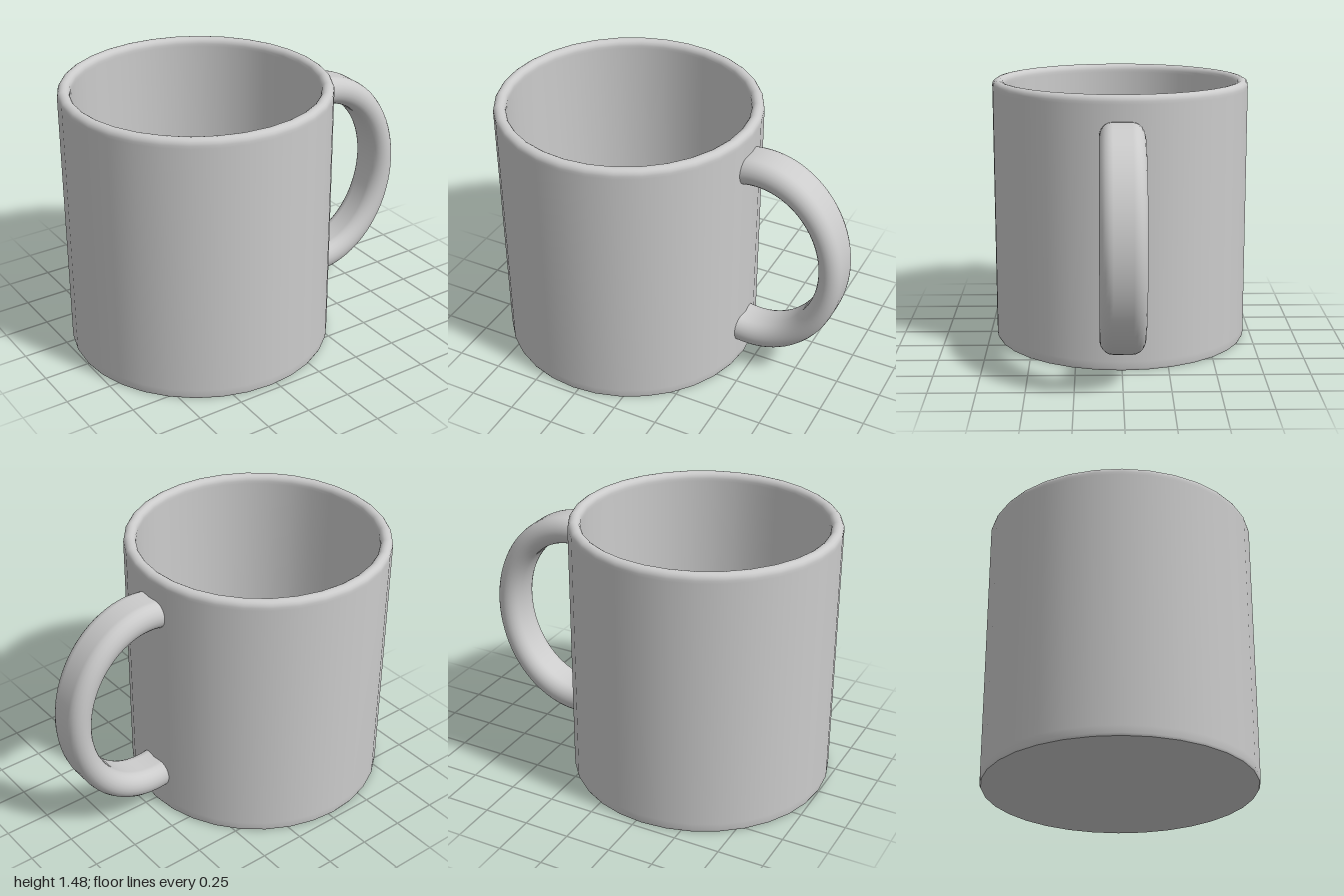
import * as THREE from 'three';
import { ParametricGeometry } from 'three/addons/geometries/ParametricGeometry.js';

const SIDES = 32;
const CUP_X = -0.284;
const material = new THREE.MeshStandardMaterial({ color: 0xcccccc });

function lathe(name, points) {
  const geometry = new THREE.LatheGeometry(points.map(([r, y]) => new THREE.Vector2(r, y)), SIDES);
  const mesh = new THREE.Mesh(geometry, material);
  mesh.name = name;
  mesh.position.x = CUP_X;
  return mesh;
}

// Elliptical loop with a rounded, flattened cross-section
function createHandle() {
  const section = new THREE.Shape();
  section.absarc(0.05, 0, 0.07, -Math.PI / 2, Math.PI / 2);
  section.absarc(-0.05, 0, 0.07, Math.PI / 2, Math.PI * 1.5);
  section.closePath();

  const reach = Math.PI / 2 + 0.2; // the ends sink into the cup wall
  const geometry = new ParametricGeometry((u, v, target) => {
    const angle = reach * (1 - 2 * u);
    const p = section.getPoint(v);
    const across = p.y / 0.07;
    target.set(
      0.49 + (0.442 + 0.066 * across) * Math.cos(angle),
      0.74 + (0.5275 + 0.0775 * across) * Math.sin(angle),
      p.x
    );
  }, 48, 32);
  const mesh = new THREE.Mesh(geometry, material);
  mesh.name = 'handle';
  return mesh;
}

export function createModel() {
  const group = new THREE.Group();
  group.name = 'mug';

  // Outer wall, rounded rim and inner wall in one profile
  const profile = [[0.71, 0], [0.716, 0.012], [0.717, 0.05], [0.717, 1.43]];
  for (let i = 0; i <= 8; i++) {
    const a = (i / 8) * Math.PI;
    profile.push([0.684 + 0.033 * Math.cos(a), 1.445 + 0.033 * Math.sin(a)]);
  }
  profile.push([0.651, 1.43], [0.65, 0.1], [0.645, 0.08], [0.63, 0.07]);
  group.add(lathe('cupWall', profile));

  // Flat discs: underside and inside floor
  group.add(lathe('base', [[0, 0], [0.71, 0]]));
  group.add(lathe('innerFloor', [[0.63, 0.07], [0, 0.07]]));

  group.add(createHandle());
  return group;
}
